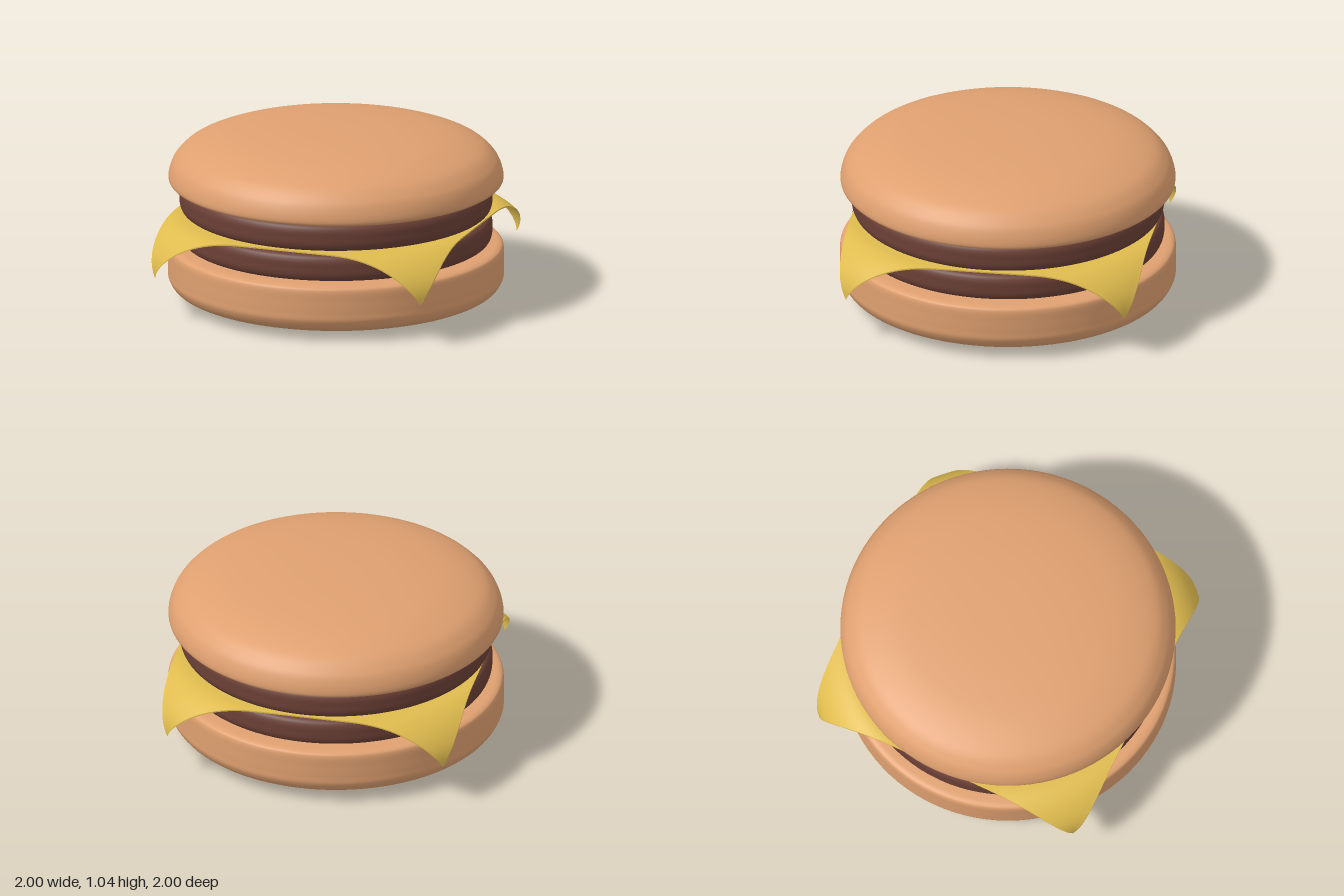
import * as THREE from 'three';

const material = (color) => new THREE.MeshStandardMaterial({ color, roughness: 0.8 });

// Round layer turned from a smooth profile, listed from the bottom centre to the top centre
function roundLayer(name, profile, mat, y = 0) {
  const curve = new THREE.SplineCurve(profile.map(([r, h]) => new THREE.Vector2(r, h)));
  const points = curve.getPoints(70).map((p) => new THREE.Vector2(Math.max(0, p.x), p.y));
  const mesh = new THREE.Mesh(new THREE.LatheGeometry(points, 96), mat);
  mesh.name = name;
  mesh.position.y = y;
  return mesh;
}

// Thin square slice: everything beyond the patty's rim curves down and inward
function cheeseSlice(mat) {
  const half = 0.905, rim = 0.95, corner = half * Math.SQRT2;
  const geometry = new THREE.BoxGeometry(2 * half, 0.008, 2 * half, 64, 1, 64);
  const pos = geometry.attributes.position;
  for (let i = 0; i < pos.count; i++) {
    const x = pos.getX(i), z = pos.getZ(i);
    const r = Math.hypot(x, z);
    const t = Math.max(0, (r - rim) / (corner - rim));
    const scale = r > 0 ? (r - 0.092 * t ** 4.7) / r : 1;
    pos.setXYZ(i, x * scale, pos.getY(i) - 0.27 * t ** 1.8, z * scale);
  }
  geometry.computeVertexNormals();
  const mesh = new THREE.Mesh(geometry, mat);
  mesh.name = 'cheeseSlice';
  mesh.position.y = 0.532;
  return mesh;
}

export function createModel() {
  const model = new THREE.Group();
  model.name = 'burger';
  const bun = material(0xdfa070);
  const meat = material(0x6b4036);
  const cheese = material(0xdfbb4e);
  cheese.side = THREE.DoubleSide;

  // Bottom bun: domed underside, straight wall, flat top
  model.add(roundLayer('bottomBun', [
    [0, 0], [0.35, 0.003], [0.6, 0.012], [0.84, 0.036], [0.95, 0.07], [0.995, 0.125],
    [1, 0.18], [1, 0.25], [0.998, 0.315], [0.98, 0.338], [0.93, 0.345], [0.8, 0.345], [0, 0.345],
  ], bun));

  // Two patties of the same shape
  const patty = [
    [0, 0], [0.75, 0], [0.86, 0.002], [0.91, 0.014], [0.929, 0.045], [0.931, 0.088],
    [0.929, 0.131], [0.91, 0.162], [0.86, 0.174], [0.75, 0.176], [0, 0.176],
  ];
  model.add(roundLayer('lowerPatty', patty, meat, 0.35));
  model.add(roundLayer('upperPatty', patty, meat, 0.537));

  model.add(cheeseSlice(cheese));

  // Top bun: flat underside with a soft rim and a low dome
  model.add(roundLayer('topBun', [
    [0, 0.71], [0.8, 0.71], [0.92, 0.712], [0.978, 0.72], [0.998, 0.745], [0.985, 0.81],
    [0.95, 0.87], [0.87, 0.935], [0.7, 0.992], [0.48, 1.022], [0.25, 1.036], [0, 1.04],
  ], bun));

  return model;
}
